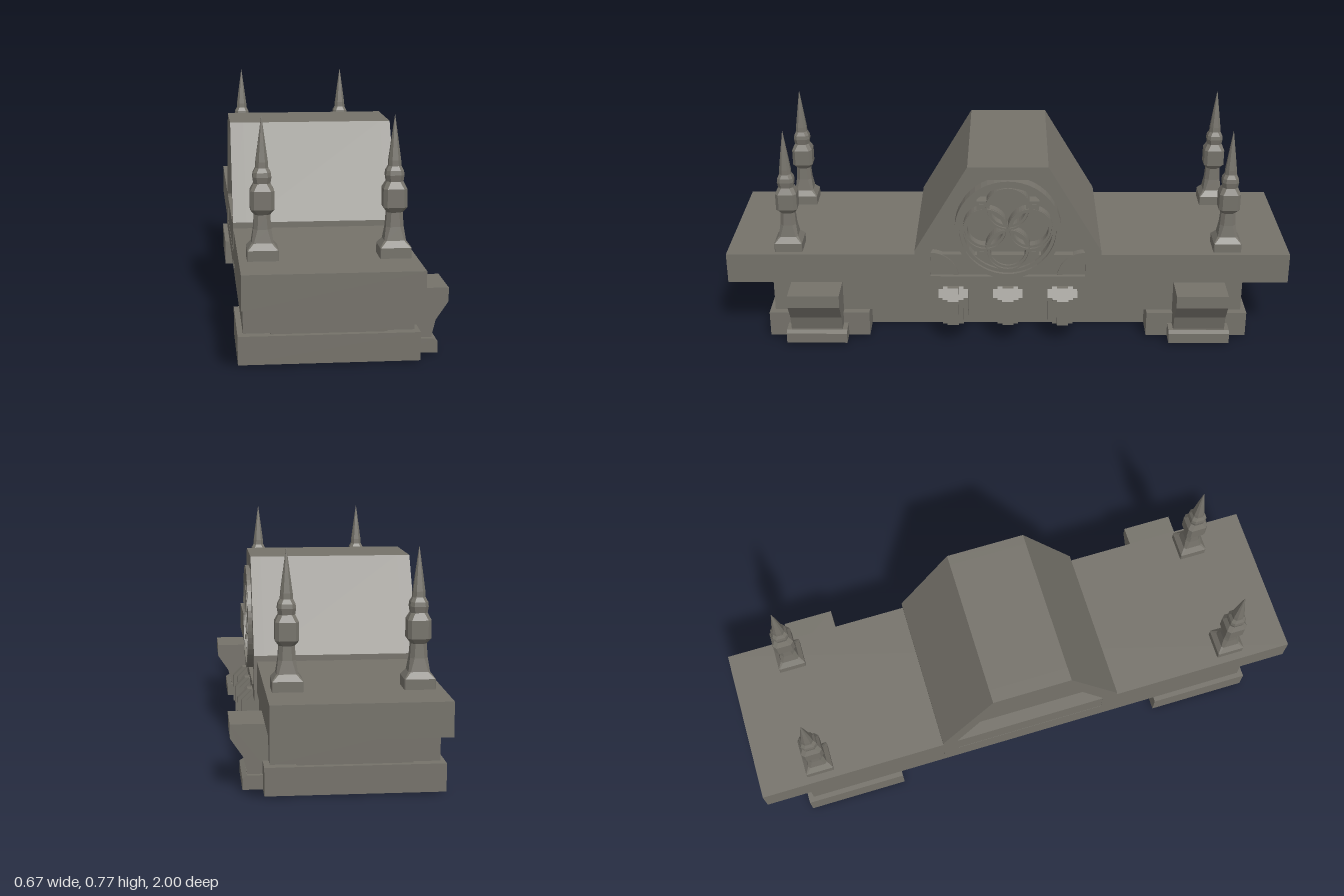
import * as THREE from 'three';

const stone = new THREE.MeshStandardMaterial({ color: 0x75726a, flatShading: true });
stone.name = 'weathered stone';

export function createModel() {
  const model = new THREE.Group();
  model.name = 'stoneMonument';

  const add = (name, geometry, parent = model) => {
    const mesh = new THREE.Mesh(geometry, stone);
    mesh.name = name;
    parent.add(mesh);
    return mesh;
  };
  // Box given by its limits on each axis
  const box = (name, x0, x1, y0, y1, z0, z1, parent) => {
    const g = new THREE.BoxGeometry(x1 - x0, y1 - y0, z1 - z0);
    g.translate((x0 + x1) / 2, (y0 + y1) / 2, (z0 + z1) / 2);
    return add(name, g, parent);
  };
  const shapeOf = (pts) => new THREE.Shape(pts.map(([a, b]) => new THREE.Vector2(a, b)));
  // Side profile (x, y) drawn out along z
  const alongZ = (name, pts, z0, z1, parent) => {
    const g = new THREE.ExtrudeGeometry(shapeOf(pts), { depth: z1 - z0, bevelEnabled: false });
    g.translate(0, 0, z0);
    return add(name, g, parent);
  };
  // Face outline (z, y) drawn out along x
  const alongX = (name, shape, x0, x1, parent) => {
    const g = new THREE.ExtrudeGeometry(shape, { depth: x1 - x0, bevelEnabled: false, curveSegments: 24 });
    g.rotateY(Math.PI / 2).translate(x0, 0, 0);
    return add(name, g, parent);
  };

  // Base, body and top slab
  box('core', -0.235, 0.13, 0, 0.15, -0.53, 0.53);
  box('body', -0.32, 0.215, 0.1, 0.22, -0.84, 0.84);
  box('topSlab', -0.33, 0.225, 0.215, 0.325, -1, 1);
  for (const s of [-1, 1]) {
    const [a, b] = s > 0 ? [0.5, 0.86] : [-0.86, -0.5];
    box('plinth', -0.337, 0.233, 0.005, 0.096, a, b);
    box('plinthCore', -0.235, 0.13, 0, 0.11, a + 0.02, b - 0.02);
  }

  // Gabled block with a framed recess at both ends
  const outline = [[-0.33, 0.187], [0.33, 0.187], [0.33, 0.345], [0.14, 0.665], [-0.14, 0.665], [-0.33, 0.345]];
  const opening = [[-0.275, 0.235], [0.275, 0.235], [0.275, 0.335], [0.115, 0.617], [-0.115, 0.617], [-0.275, 0.335]];
  alongX('gableBlock', shapeOf(outline), -0.285, 0.2);
  const frame = shapeOf(outline);
  frame.holes.push(shapeOf(opening));
  alongX('gableBackFrame', frame, -0.331, -0.285);
  alongX('gableFrontFrame', frame, 0.2, 0.235);

  // Round tracery on the +x gable
  const tracery = new THREE.Group();
  tracery.name = 'tracery';
  tracery.position.set(0.2, 0.43, 0);
  model.add(tracery);
  const ring = (name, inner, outer, depth, y = 0, z = 0) => {
    const s = new THREE.Shape().absarc(0, 0, outer, 0, Math.PI * 2);
    s.holes.push(new THREE.Path().absarc(0, 0, inner, 0, Math.PI * 2));
    return alongX(name, s, 0, depth, tracery).position.set(0, y, z);
  };
  ring('outerRing', 0.17, 0.187, 0.048);
  ring('innerRing', 0.158, 0.172, 0.036);
  for (let i = 0; i < 4; i++) {
    const a = i * Math.PI / 2;
    const y = Math.sin(a), z = Math.cos(a);
    ring('foilRing', 0.064, 0.08, 0.034, y * 0.079, z * 0.079);
    ring('foilEdge', 0.073, 0.079, 0.042, y * 0.079, z * 0.079);
    const sy = i < 2 ? 1 : -1, sz = i % 2 ? 1 : -1;
    box('boss', 0, 0.04, sy * 0.092 - 0.017, sy * 0.092 + 0.017, sz * 0.092 - 0.017, sz * 0.092 + 0.017, tracery);
    box('bossStud', 0, 0.046, sy * 0.092 - 0.008, sy * 0.092 + 0.008, sz * 0.092 - 0.008, sz * 0.092 + 0.008, tracery);
  }

  // Curved ribs and sill in the lower corners of the recess
  for (const s of [-1, 1]) {
    for (const [r, depth] of [[0.1, 0.03], [0.068, 0.02]]) {
      const rib = new THREE.Shape();
      const a0 = s > 0 ? 0 : Math.PI / 2;
      rib.absarc(0, 0, r, a0, a0 + Math.PI / 2, false);
      rib.absarc(0, 0, r - 0.018, a0 + Math.PI / 2, a0, true);
      alongX('cornerRib', rib, 0.2, 0.2 + depth).position.set(0, 0.235, s * 0.275);
    }
  }
  box('recessSill', 0.2, 0.24, 0.235, 0.247, -0.275, 0.275);

  // Three stepped brackets below the gable
  for (const z of [-0.195, 0, 0.195]) {
    const bracket = new THREE.Group();
    bracket.name = 'bracket';
    bracket.position.z = z;
    model.add(bracket);
    for (const [w, x] of [[0.053, 0.258], [0.037, 0.274], [0.02, 0.288]]) {
      alongZ('bracketStep', [[0.12, 0.075], [x, 0.075], [x, 0.17], [x - 0.035, 0.205], [0.12, 0.205]], -w, w, bracket);
    }
  }

  // Scrolled consoles on the +x side
  for (const s of [-1, 1]) {
    const c = s * 0.684;
    alongZ('console', [[0.2, 0.04], [0.282, 0.04], [0.282, 0.06], [0.294, 0.11], [0.335, 0.17], [0.335, 0.215], [0.2, 0.215]],
      c - 0.091, c + 0.091);
    alongZ('consoleFoot', [[0.2, 0.008], [0.298, 0.008], [0.298, 0.045], [0.283, 0.054], [0.2, 0.054]],
      c - 0.108, c + 0.108);
  }

  // Finials: chamfered square rings [height, half width, chamfer share]
  const rings = [
    [0.32, 0.049, 0.05], [0.358, 0.049, 0.05], [0.378, 0.034, 0.2], [0.42, 0.028, 0.45],
    [0.465, 0.025, 0.5], [0.482, 0.037, 0.3], [0.54, 0.037, 0.3], [0.562, 0.026, 0.45],
    [0.582, 0.029, 0.4], [0.596, 0.027, 0.4], [0.61, 0.02, 0.5], [0.628, 0.019, 0.5],
    [0.69, 0.011, 0.5], [0.768, 0.0005, 0.5],
  ];
  const pos = [], index = [];
  rings.forEach(([y, h, share], r) => {
    const k = h * (1 - share);
    for (const [x, z] of [[h, -k], [h, k], [k, h], [-k, h], [-h, k], [-h, -k], [-k, -h], [k, -h]]) pos.push(x, y, z);
    if (r === 0) return;
    for (let i = 0; i < 8; i++) {
      const a = (r - 1) * 8 + i, b = (r - 1) * 8 + (i + 1) % 8;
      index.push(a, a + 8, b, b, a + 8, b + 8);
    }
  });
  const finial = new THREE.BufferGeometry();
  finial.setAttribute('position', new THREE.Float32BufferAttribute(pos, 3));
  finial.setIndex(index);
  finial.computeVertexNormals();
  for (const x of [-0.255, 0.157]) {
    for (const z of [-0.78, 0.78]) add('finial', finial).position.set(x, 0, z);
  }

  return model;
}
